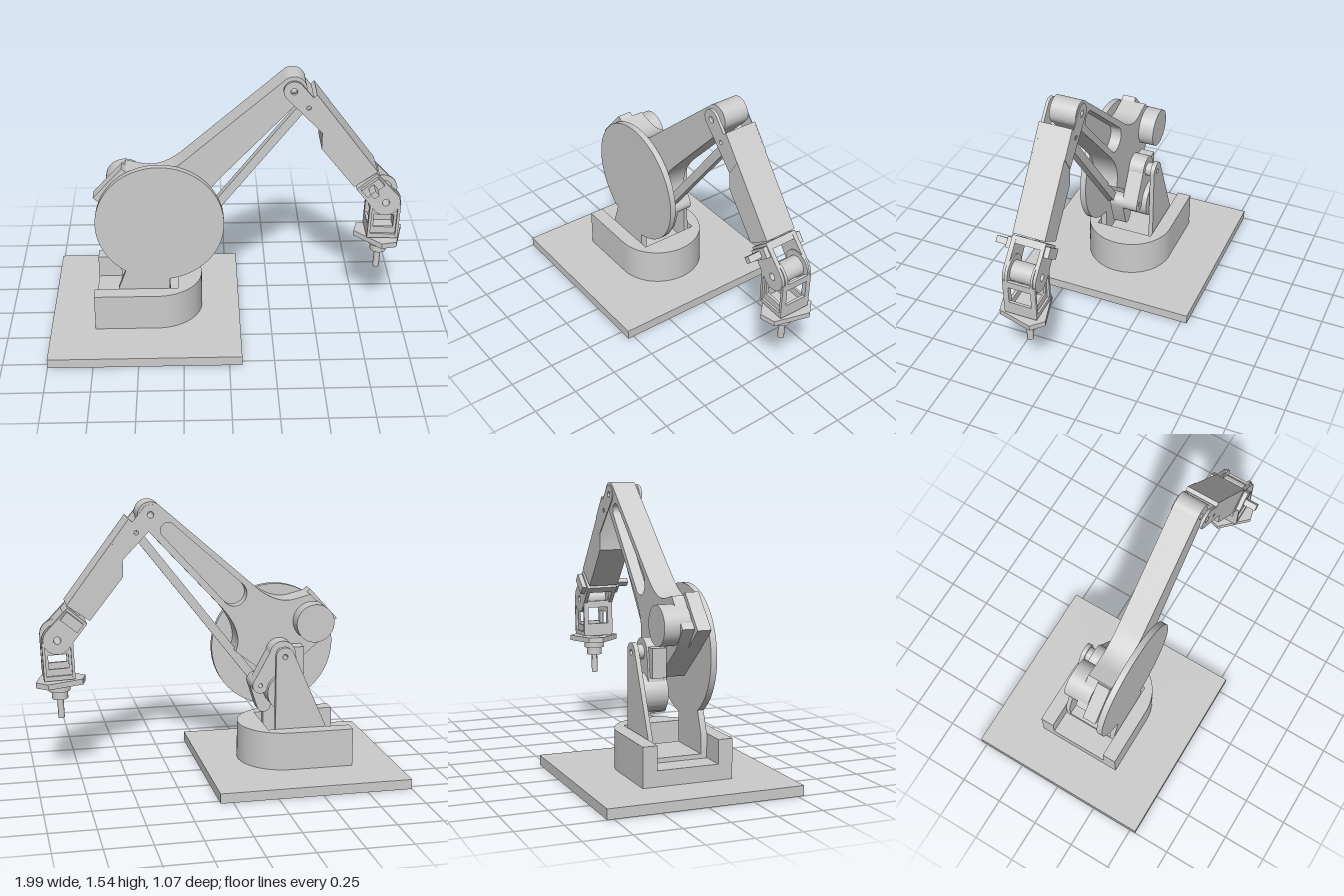
import * as THREE from 'three';
import { toCreasedNormals } from 'three/addons/utils/BufferGeometryUtils.js';

const material = new THREE.MeshStandardMaterial({ color: 0xcccccc });
const PIVOT = [-0.375, 0.685], ELBOW = [0.345, 1.475], WRIST = [0.865, 0.805];

function add(parent, name, geometry) {
  const mesh = new THREE.Mesh(geometry, material);
  mesh.name = name;
  parent.add(mesh);
  return mesh;
}

const poly = (pts) => new THREE.Shape(pts.map(([x, y]) => new THREE.Vector2(x, y)));

// Outline wrapped around two circles
function bar(a, ra, b, rb) {
  const t = Math.atan2(b[1] - a[1], b[0] - a[0]);
  const p = Math.acos((ra - rb) / Math.hypot(b[0] - a[0], b[1] - a[1]));
  const s = new THREE.Shape();
  s.absarc(b[0], b[1], rb, t - p, t + p, false);
  s.absarc(a[0], a[1], ra, t + p, t - p + Math.PI * 2, false);
  s.closePath();
  return s;
}

function circle([x, y], r) {
  const s = new THREE.Shape();
  s.absarc(x, y, r, 0, Math.PI * 2, false);
  return s;
}

// Extrude an outline from z0 to z1
function slab(shape, z0, z1, holes = []) {
  shape.holes.push(...holes);
  const g = new THREE.ExtrudeGeometry(shape, { depth: z1 - z0, bevelEnabled: false, curveSegments: 32 });
  return toCreasedNormals(g.translate(0, 0, z0), 0.5);
}

// Extrude a plan outline upward from y0 to y1
const floorSlab = (shape, y0, y1, holes) => slab(shape, y0, y1, holes).rotateX(-Math.PI / 2);

const box = (x0, x1, y0, y1, z0, z1) =>
  new THREE.BoxGeometry(x1 - x0, y1 - y0, z1 - z0).translate((x0 + x1) / 2, (y0 + y1) / 2, (z0 + z1) / 2);

export function createModel() {
  const model = new THREE.Group();
  model.name = 'robotArm';

  // Base plate with centre hole
  add(model, 'basePlate', floorSlab(poly([[-1, -0.535], [0.07, -0.535], [0.07, 0.535], [-1, 0.535]]),
    0, 0.055, [circle([-0.465, 0], 0.07)]));

  // Swivel block, open at its flat end
  const plan = (notched) => {
    const s = new THREE.Shape();
    s.moveTo(-0.75, -0.25);
    s.lineTo(-0.395, -0.25);
    s.absarc(-0.395, 0, 0.25, -Math.PI / 2, Math.PI / 2, false);
    s.lineTo(-0.75, 0.25);
    if (notched) [[-0.75, 0.17], [-0.28, 0.17], [-0.28, -0.17], [-0.75, -0.17]].forEach((p) => s.lineTo(...p));
    s.closePath();
    return s;
  };
  add(model, 'swivelBlockFloor', floorSlab(plan(false), 0.055, 0.14));
  add(model, 'swivelBlockWalls', floorSlab(plan(true), 0.14, 0.27));

  // Shoulder bracket: large disc plate in front, tapered plate behind
  const disc = new THREE.Shape();
  disc.absarc(...PIVOT, 0.355, -1.43, 4.131, false);
  [[-0.615, 0.27], [-0.615, 0.14], [-0.325, 0.14]].forEach((p) => disc.lineTo(...p));
  disc.closePath();
  add(model, 'shoulderDisc', slab(disc, 0.133, 0.167));
  const support = new THREE.Shape();
  support.absarc(...PIVOT, 0.052, 0, Math.PI * 0.9, false);
  [[-0.615, 0.27], [-0.615, 0.14], [-0.323, 0.14]].forEach((p) => support.lineTo(...p));
  support.closePath();
  add(model, 'shoulderSupport', slab(support, -0.165, -0.14, [circle(PIVOT, 0.015)]));
  add(model, 'bracketFloor', box(-0.615, -0.325, 0.14, 0.165, -0.165, 0.165));
  add(model, 'shoulderShaft', slab(circle(PIVOT, 0.04), -0.14, 0.133, [circle(PIVOT, 0.015)]));

  // Upper arm, drawn along its own length, with a pocket in its back
  const upperArm = new THREE.Group();
  upperArm.name = 'upperArm';
  upperArm.position.set(...PIVOT, 0);
  upperArm.rotation.z = 0.831;
  model.add(upperArm);
  const reach = 1.069;
  const armOutline = () => {
    const s = new THREE.Shape();
    s.moveTo(0.42, -0.066);
    s.absarc(reach, 0, 0.07, -Math.PI / 2, 1.46, false);
    s.lineTo(0.36, 0.15);
    s.quadraticCurveTo(0.2, 0.17, 0.15, 0.27);
    [[0.11, 0.345], [-0.1, 0.345], [-0.13, 0.2], [-0.12, -0.08], [0, -0.15], [0.17, -0.18]].forEach((p) => s.lineTo(...p));
    s.quadraticCurveTo(0.22, -0.07, 0.42, -0.066);
    return s;
  };
  add(upperArm, 'armFrontWeb', slab(armOutline(), 0.05, 0.132, [circle([reach, 0], 0.018)]));
  add(upperArm, 'armBackRim', slab(armOutline(), -0.012, 0.05,
    [circle([reach, 0], 0.018), bar([0.42, 0.038], 0.07, [0.94, 0.012], 0.042)]));
  add(upperArm, 'motorMount', box(-0.128, 0.112, 0.2, 0.37, 0.055, 0.132));

  // Shoulder motors and the lever that drives the forearm
  add(model, 'upperMotor', slab(circle([-0.565, 0.85], 0.108), -0.1, 0.05));
  add(model, 'lowerMotor', slab(circle([-0.39, 0.47], 0.106), -0.135, 0));
  add(model, 'leverBody', slab(bar([-0.39, 0.47], 0.09, PIVOT, 0.075), -0.105, -0.015));
  add(model, 'motorBlock', box(-0.5, -0.36, 0.56, 0.72, -0.095, -0.015));
  const crank = [-0.25, 0.51];
  add(model, 'crank', slab(bar(PIVOT, 0.07, crank, 0.045), -0.105, -0.015, [circle(crank, 0.012)]));
  add(model, 'crankTail', slab(bar(crank, 0.045, [-0.29, 0.37], 0.04), -0.02, 0.058));

  // Thin push rod under the upper arm
  const link = [0.425, 1.38];
  add(model, 'pushRod', slab(bar(crank, 0.024, link, 0.024), 0.04, 0.085, [circle(link, 0.012)]));

  // Forearm box between two thin cheeks that hold the elbow
  add(model, 'forearm', slab(poly([[0.465, 1.457], [0.447, 1.44], [0.5, 1.235], [0.5, 1.14], [0.685, 0.905], [0.81, 0.995]]), -0.015, 0.165));
  for (const [z0, z1] of [[-0.018, -0.013], [0.15, 0.166]]) {
    const cheek = new THREE.Shape();
    cheek.absarc(...ELBOW, 0.055, 0.66, 3.8, false);
    [[0.5, 1.235], [0.56, 1.33], [0.465, 1.457], [0.447, 1.438]].forEach((p) => cheek.lineTo(...p));
    cheek.closePath();
    add(model, 'elbowCheek', slab(cheek, z0, z1, [circle(ELBOW, 0.018), circle(link, 0.012)]));
  }
  add(model, 'wristNeck', slab(poly([[0.72, 0.945], [0.775, 0.985], [0.8, 0.955], [0.745, 0.91]]), 0.05, 0.1));

  // Wrist fork
  const forkBase = [[0.805, 0.982], [0.7, 0.89], [0.725, 0.858], [0.83, 0.95]];
  add(model, 'wristForkBase', slab(poly(forkBase), -0.018, 0.165));
  for (const [z0, z1] of [[-0.02, 0.002], [0.143, 0.167]]) {
    const s = new THREE.Shape();
    s.absarc(...WRIST, 0.078, -2.4, 0.67, false);
    [[0.805, 0.982], [0.7, 0.89]].forEach((p) => s.lineTo(...p));
    s.closePath();
    add(model, 'wristForkSide', slab(s, z0, z1, [circle(WRIST, 0.02)]));
  }
  for (const z of [-0.034, 0.178]) {
    const pad = add(model, 'wristPad', new THREE.BoxGeometry(0.115, 0.058, 0.026));
    pad.position.set(0.785, 0.908, z);
    pad.rotation.z = 0.7;
  }
  const knob = add(model, 'wristKnob', new THREE.BoxGeometry(0.035, 0.035, 0.075));
  knob.position.set(0.785, 0.908, 0.228);
  knob.rotation.z = 0.7;
  add(model, 'wristHub', slab(circle(WRIST, 0.055), 0.002, 0.143, [circle(WRIST, 0.02)]));

  // Hand cage: windowed plates on all four sides
  const hand = new THREE.Group();
  hand.name = 'hand';
  hand.position.set(WRIST[0], WRIST[1], 0.073);
  hand.rotation.z = -0.04;
  model.add(hand);
  const windowHole = (x, y0, y1) => poly([[-x, y0], [x, y0], [x, y1], [-x, y1]]);
  for (const [z0, z1] of [[-0.078, -0.066], [0.062, 0.078]]) {
    const s = new THREE.Shape();
    s.moveTo(-0.085, -0.212);
    s.lineTo(0.085, -0.212);
    s.lineTo(0.085, 0);
    s.absarc(0, 0, 0.085, 0, Math.PI, false);
    s.closePath();
    add(hand, 'handPlate', slab(s, z0, z1, [windowHole(0.055, -0.162, -0.083), circle([0, 0], 0.02)]));
  }
  for (const x of [-0.085, 0.07]) {
    add(hand, 'handSide', slab(poly([[-0.092, -0.212], [0.092, -0.212], [0.092, -0.01], [-0.092, -0.01]]), 0, 0.015,
      [windowHole(0.064, -0.15, -0.05)]).rotateY(Math.PI / 2).translate(x, 0, 0));
  }
  add(hand, 'handFloor', box(-0.085, 0.085, -0.225, -0.2, -0.09, 0.09));

  // Tool flange with three clipped ears, then the stepped tool
  const ears = [];
  for (let i = 0; i < 3; i++) {
    for (const d of [-0.3, 0.3]) {
      const a = 0.785 + (i * Math.PI * 2) / 3 + d;
      ears.push([0.148 * Math.cos(a), 0.148 * Math.sin(a)]);
    }
  }
  add(hand, 'toolFlange', floorSlab(poly(ears), -0.263, -0.232));
  const tool = [[0, -0.463], [0.018, -0.463], [0.018, -0.35], [0.045, -0.35], [0.045, -0.305], [0.06, -0.305], [0.06, -0.225], [0, -0.225]];
  add(hand, 'tool', toCreasedNormals(new THREE.LatheGeometry(tool.map(([x, y]) => new THREE.Vector2(x, y)), 32), 0.5));

  return model;
}
